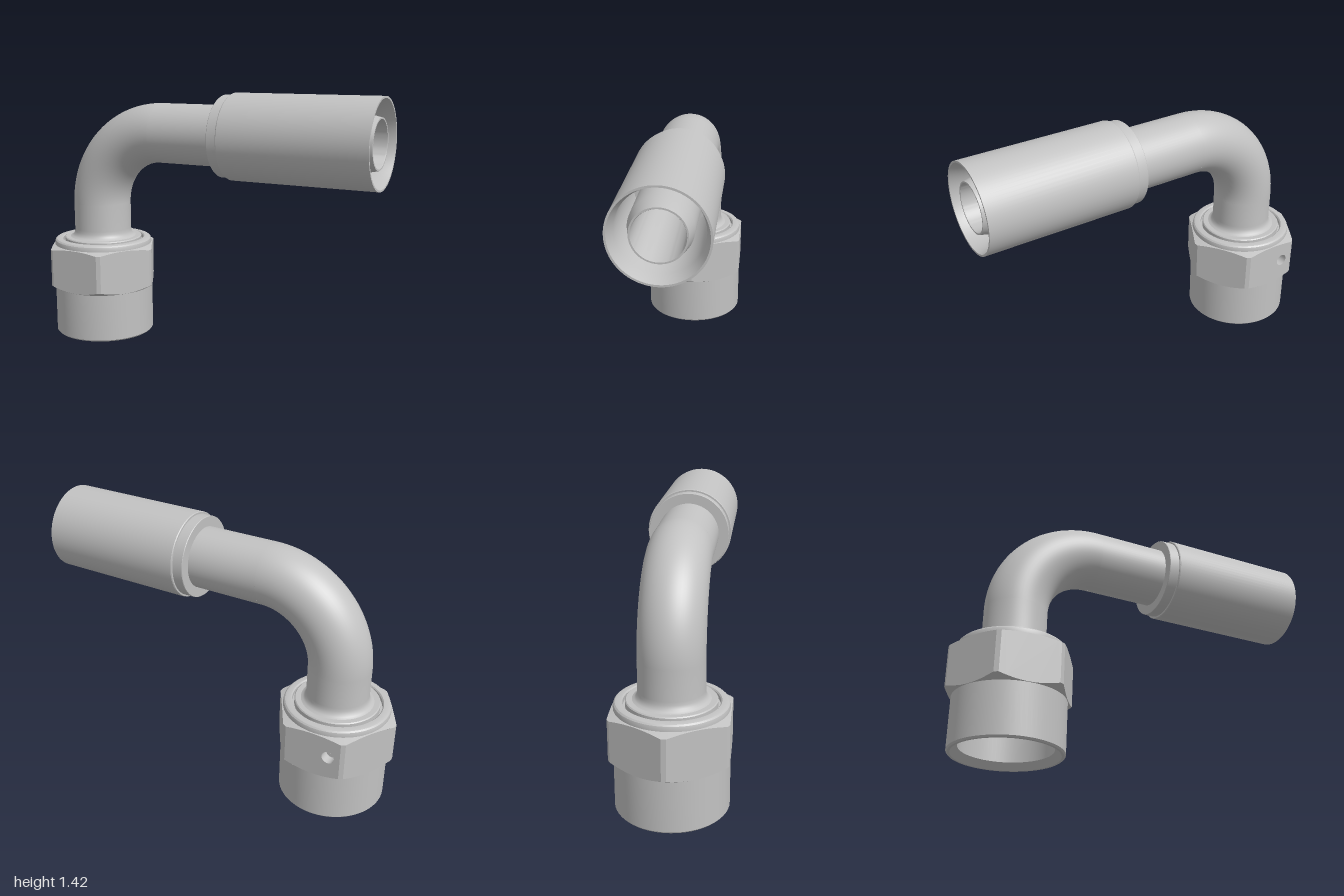
import * as THREE from 'three';
import { toCreasedNormals } from 'three/addons/utils/BufferGeometryUtils.js';

const AXIS_X = -0.672;            // vertical axis of nut and tube
const AXIS_Y = 1.193;             // horizontal axis of tube and sleeve
const BEND = 0.42;                // bend radius of the elbow
const FLAT = 0.29, CORNER = 0.328; // hexagon: flat distance and cut corner radius

const steel = new THREE.MeshStandardMaterial({ color: 0xc2c2c2, side: THREE.DoubleSide });
steel.name = 'steel';

// heights where the chamfers meet the hexagon at radius r
const lowEdge = r => 0.277 + (r - FLAT) * 0.6;
const highEdge = r => 0.527 - (r - FLAT) * 0.35;

function add(parent, name, geometry) {
  const mesh = new THREE.Mesh(geometry, steel);
  mesh.name = name;
  parent.add(mesh);
  return mesh;
}

// turned part from [radius, height] pairs, with sharp profile edges
function turned(points, segments = 72) {
  const g = new THREE.LatheGeometry(points.map(p => new THREE.Vector2(p[0], p[1])), segments);
  return toCreasedNormals(g, Math.PI / 7);
}

// chamfer ring from a circle to the hexagon outline
function chamfer(innerR, innerY, edge, upward) {
  const pos = [], n = 180;
  const pair = i => {
    const t = (i / n) * Math.PI * 2, third = Math.PI / 3;
    const local = ((t % third) + third) % third - third / 2;
    // the flats are centred on +z and -z
    const r = Math.min(FLAT / Math.cos(local), CORNER), a = t - third / 2;
    const point = (rad, y) => [rad * Math.sin(a), y, rad * Math.cos(a)];
    return [point(innerR, innerY), point(r, edge(r))];
  };
  for (let i = 0; i < n; i++) {
    const [a, b] = pair(i), [c, d] = pair(i + 1);
    if (upward) pos.push(...a, ...b, ...d, ...a, ...d, ...c);
    else pos.push(...a, ...d, ...b, ...a, ...c, ...d);
  }
  const g = new THREE.BufferGeometry();
  g.setAttribute('position', new THREE.Float32BufferAttribute(pos, 3));
  return toCreasedNormals(g, Math.PI / 7);
}

// one flat of the hexagon with curved ends, optionally drilled
function flatFace(hole) {
  const half = Math.sqrt(CORNER * CORNER - FLAT * FLAT), n = 16;
  const low = [], high = [];
  for (let i = 0; i <= n; i++) {
    const u = -half + (2 * half * i) / n, r = Math.hypot(u, FLAT);
    low.push(new THREE.Vector2(u, lowEdge(r)));
    high.unshift(new THREE.Vector2(u, highEdge(r)));
  }
  const shape = new THREE.Shape([...low, ...high]);
  if (hole) shape.holes.push(new THREE.Path().absarc(hole.u, hole.y, hole.r, 0, Math.PI * 2, true));
  return new THREE.ShapeGeometry(shape, 24).translate(0, 0, FLAT);
}

function buildNut() {
  const nut = new THREE.Group();
  nut.name = 'swivelNut';
  nut.position.x = AXIS_X;

  // threaded skirt, bore and rounded top collar
  add(nut, 'nutBody', turned([
    [0.12, 0.4], [0.235, 0.4], [0.235, 0.035], [0.268, 0], [0.281, 0], [0.288, 0.008],
    [0.288, 0.279], [0.24, 0.279], [0.24, 0.525], [0.284, 0.525], [0.284, 0.542],
    [0.281, 0.553], [0.274, 0.56], [0.264, 0.563], [0.243, 0.563], [0.237, 0.557], [0.237, 0.535], [0.2, 0.535],
  ]));

  // hexagon flats and narrow cut corners
  const hole = { u: 0.088, y: 0.41, r: 0.034 };
  const cut = 2 * CORNER * Math.sin(Math.PI / 6 - Math.acos(FLAT / CORNER));
  const lo = lowEdge(CORNER), hi = highEdge(CORNER);
  for (let i = 0; i < 6; i++) {
    const a = (i * Math.PI) / 3;
    add(nut, 'hexFlat', flatFace(i === 3 ? hole : null)).rotation.y = a;
    const strip = new THREE.PlaneGeometry(Math.abs(cut), hi - lo);
    strip.translate(0, (hi + lo) / 2, Math.sqrt(CORNER * CORNER - (cut * cut) / 4));
    add(nut, 'hexCorner', strip).rotation.y = a + Math.PI / 6;
  }
  add(nut, 'hexUpperChamfer', chamfer(0.28, 0.53, highEdge, true));
  add(nut, 'hexLowerChamfer', chamfer(0.287, 0.275, lowEdge, false));

  // small drilled hole in the back flat
  const drill = new THREE.Group();
  drill.name = 'drilledHole';
  drill.rotation.y = Math.PI;
  nut.add(drill);
  const wall = new THREE.CylinderGeometry(hole.r, hole.r, 0.055, 24, 1, true);
  add(drill, 'holeWall', wall.rotateX(Math.PI / 2).translate(hole.u, hole.y, FLAT - 0.0275));
  add(drill, 'holeFloor', new THREE.CircleGeometry(hole.r, 24).translate(hole.u, hole.y, FLAT - 0.055));
  return nut;
}

function buildTube() {
  const tube = new THREE.Group();
  tube.name = 'elbowTube';
  const cx = AXIS_X + BEND, cy = AXIS_Y - BEND;

  // upright leg with flange and fillet at its foot
  add(tube, 'uprightLeg', turned([
    [0.225, 0.53], [0.225, 0.566], [0.22, 0.571], [0.192, 0.571], [0.18, 0.577],
    [0.171, 0.587], [0.166, 0.603], [0.165, 0.62], [0.165, cy],
  ])).position.x = AXIS_X;
  add(tube, 'uprightBore', turned([[0.12, cy], [0.12, 0.4]])).position.x = AXIS_X;

  // quarter bend, outside and bore
  for (const [name, r] of [['bend', 0.165], ['bendBore', 0.12]]) {
    const g = new THREE.TorusGeometry(BEND, r, 56, 48, Math.PI / 2).rotateZ(Math.PI / 2);
    add(tube, name, g).position.set(cx, cy, 0);
  }

  // level leg
  const level = add(tube, 'levelLeg', turned([[0.165, cx], [0.165, 0.16]]));
  level.rotation.z = -Math.PI / 2;
  level.position.y = AXIS_Y;
  return tube;
}

function buildSleeve() {
  const sleeve = new THREE.Group();
  sleeve.name = 'hoseEnd';
  sleeve.rotation.z = -Math.PI / 2;
  sleeve.position.y = AXIS_Y;

  // crimp sleeve with stepped collar and flared mouth
  add(sleeve, 'crimpSleeve', turned([
    [0.16, 0.14], [0.218, 0.14], [0.22, 0.143], [0.22, 0.198], [0.229, 0.198], [0.232, 0.203],
    [0.232, 1], [0.222, 1], [0.201, 0.93], [0.201, 0.4], [0.14, 0.4],
  ]));
  // tapered inner nipple and its bore
  add(sleeve, 'hoseNipple', turned([
    [0.148, 0.4], [0.148, 0.9], [0.13, 0.985], [0.122, 0.985], [0.12, 0.98], [0.12, AXIS_X + BEND],
  ]));
  return sleeve;
}

export function createModel() {
  const model = new THREE.Group();
  model.name = 'elbowHoseFitting';
  model.add(buildNut(), buildTube(), buildSleeve());
  return model;
}
